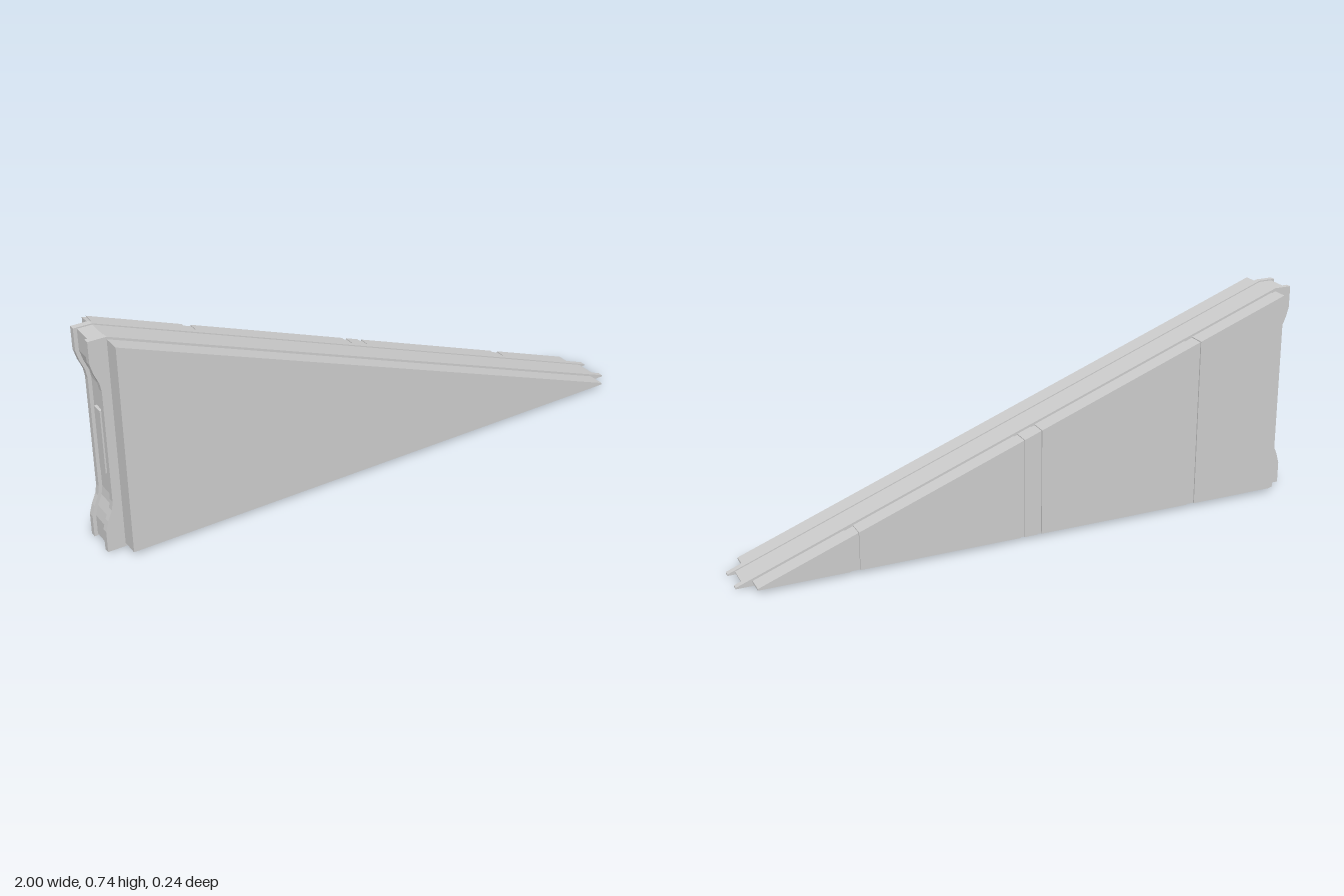
import * as THREE from 'three';

const material = new THREE.MeshStandardMaterial({ color: 0xcccccc, flatShading: true });

// Height of the sloping edge at x, lowered by drop
const slopeY = (x, drop = 0) => 0.735 - 0.3763 * (x + 0.94) - drop;

// Flat plate with the given outline, filling z0..z1
function plate(name, outline, z0, z1) {
  const shape = new THREE.Shape(outline.map(([x, y]) => new THREE.Vector2(x, y)));
  const geometry = new THREE.ExtrudeGeometry(shape, { depth: z1 - z0, bevelEnabled: false });
  geometry.translate(0, 0, z0);
  const mesh = new THREE.Mesh(geometry, material);
  mesh.name = name;
  return mesh;
}

// Slice of a cladding panel between two x positions
const slice = (x0, x1, drop) => [
  [x0, 0.012], [x1, 0.012], [x1, slopeY(x1, drop)], [x0, slopeY(x0, drop)],
];

// Hooked left edge, top to bottom, shifted inwards by inset
const hookedEdge = (inset, top, bottom) => [
  [-1 + inset, top], [-1 + inset, 0.66], [-0.99 + inset, 0.625], [-0.975 + inset, 0.59],
  [-0.97 + inset, 0.56], [-0.97 + inset, 0.175], [-0.975 + inset, 0.145],
  [-0.99 + inset, 0.11], [-1 + inset, 0.075], [-1 + inset, bottom],
];

export function createModel() {
  const model = new THREE.Group();
  model.name = 'triangularWallPanel';

  // Core between the two flanges
  model.add(plate('core', [
    ...hookedEdge(0.012, 0.731, 0.007), [0.975, 0.007], [0.975, slopeY(0.975, 0.004)], [-0.94, 0.731],
  ], -0.04, 0.04));

  // Raised block in the channel of the upright edge
  const block = new THREE.Mesh(new THREE.BoxGeometry(0.02, 0.22, 0.04), material);
  block.name = 'edgeBlock';
  block.position.set(-0.957, 0.365, 0);
  model.add(block);

  // Pair of flanges standing proud of the core and panels
  for (const side of [-1, 1]) {
    model.add(plate(side > 0 ? 'frontFlange' : 'backFlange', [
      ...hookedEdge(0, 0.735, 0), [1, 0], [1, slopeY(1)], [-0.94, 0.735],
    ], side * 0.05 - 0.01, side * 0.05 + 0.01));
  }

  // Plain front panel
  model.add(plate('frontPanel', slice(-0.94, 0.945, 0.008), 0.06, 0.12));

  // Back panel: boards with slightly sunken joint strips between them
  const back = new THREE.Group();
  back.name = 'backPanel';
  const joints = [[-0.94, -0.925], [-0.615, -0.585], [-0.027, -0.012], [0.035, 0.05], [0.61, 0.64]];
  joints.forEach(([start, end], i) => {
    const next = i + 1 < joints.length ? joints[i + 1][0] : 0.945;
    back.add(plate('jointStrip', slice(start, end, 0.011), -0.115, -0.06));
    back.add(plate('board', slice(end, next, 0.008), -0.12, -0.06));
  });
  model.add(back);

  return model;
}
